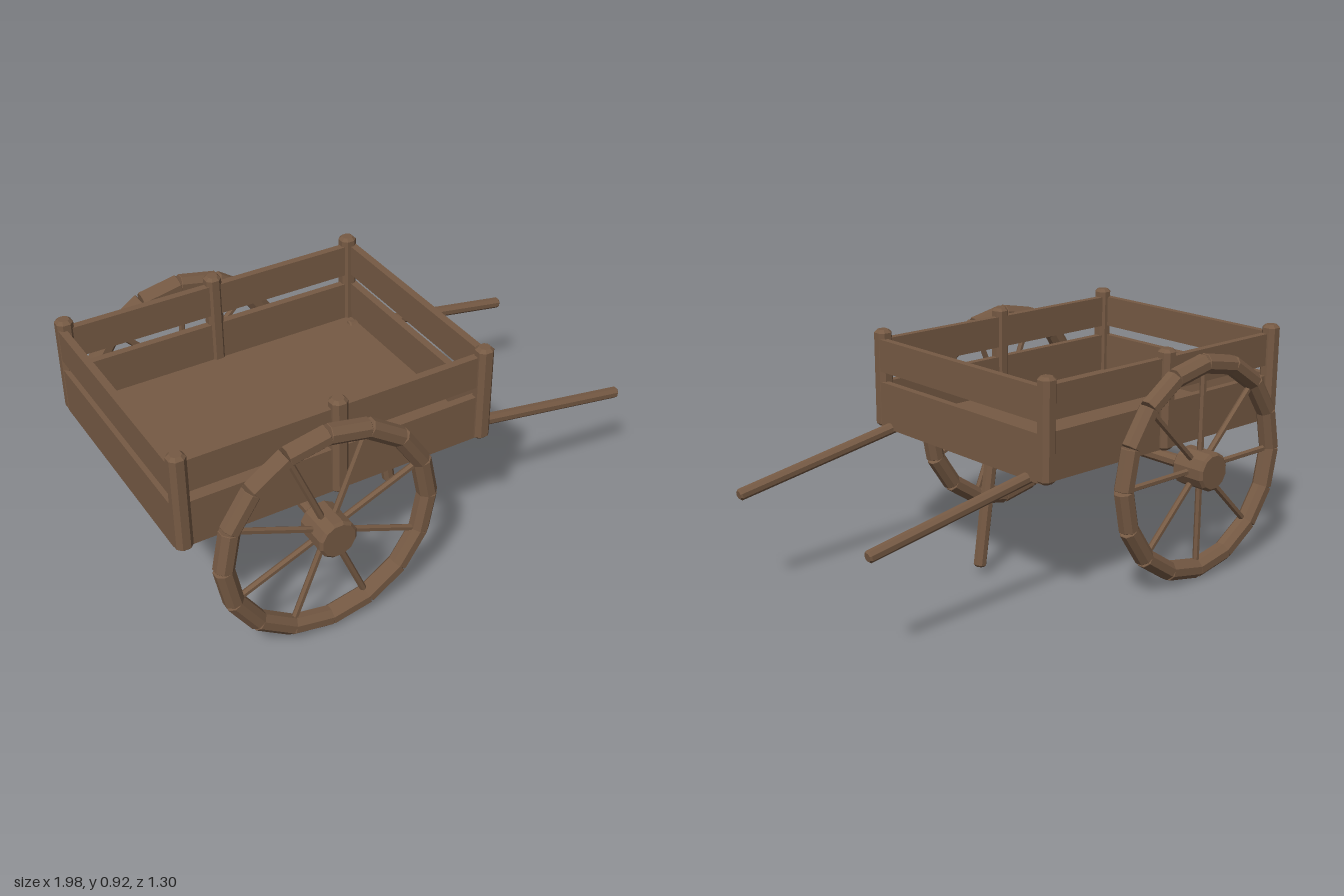
import * as THREE from 'three';

const wood = new THREE.MeshStandardMaterial({ color: 0x765a44 });
wood.name = 'brownWood';
wood.flatShading = true;

function add(parent, name, geometry, x = 0, y = 0, z = 0) {
  const mesh = new THREE.Mesh(geometry, wood);
  mesh.name = name;
  mesh.position.set(x, y, z);
  parent.add(mesh);
  return mesh;
}

// Faceted rod with chamfered ends, running between two points
function rod(parent, name, from, to, radius, chamfer, sides = 8) {
  const a = new THREE.Vector3(...from), b = new THREE.Vector3(...to);
  const h = a.distanceTo(b) / 2;
  const profile = [[0, -h], [radius - chamfer, -h], [radius, -h + chamfer],
    [radius, h - chamfer], [radius - chamfer, h], [0, h]]
    .map(([x, y]) => new THREE.Vector2(x, y));
  const mesh = add(parent, name, new THREE.LatheGeometry(profile, sides, Math.PI / sides));
  mesh.position.copy(a).add(b).multiplyScalar(0.5);
  mesh.quaternion.setFromUnitVectors(new THREE.Vector3(0, 1, 0), b.sub(a).normalize());
  return mesh;
}

// Square post with chamfered edges and ends
function post(parent, x, z) {
  const s = 0.02, c = 0.01, bevel = 0.012;
  const shape = new THREE.Shape([[s, -s + c], [s, s - c], [s - c, s], [-s + c, s],
    [-s, s - c], [-s, -s + c], [-s + c, -s], [s - c, -s]].map(([u, v]) => new THREE.Vector2(u, v)));
  const geometry = new THREE.ExtrudeGeometry(shape, {
    depth: 0.395 - 2 * bevel, bevelThickness: bevel, bevelSize: bevel, bevelSegments: 1,
  });
  geometry.rotateX(-Math.PI / 2);
  add(parent, 'post', geometry, x, 0.53 + bevel, z);
}

// Spoked wheel with a rim of straight segments
function wheel(name, side, spokeOffset) {
  const group = new THREE.Group();
  group.name = name;
  group.position.set(-0.45, 0.455, side * 0.575);
  const R = 0.413, segments = 16, spokes = 8;
  const at = (r, angle) => [r * Math.cos(angle), r * Math.sin(angle), 0];
  for (let i = 0; i < segments; i++) {
    const a = (i / segments) * Math.PI * 2, b = ((i + 1) / segments) * Math.PI * 2;
    rod(group, 'rimSegment', at(R, a), at(R, b), 0.039, 0.002);
  }
  for (let i = 0; i < spokes; i++) {
    const a = (i / spokes) * Math.PI * 2 + spokeOffset;
    rod(group, 'spoke', at(0.05, a), at(0.4, a), 0.013, 0.001, 6);
  }
  rod(group, 'hub', [0, 0, -0.075], [0, 0, 0.075], 0.077, 0.01, 12);
  return group;
}

export function createModel() {
  const cart = new THREE.Group();
  cart.name = 'handcart';

  // Cart bed with two rows of planks on every side
  const bed = new THREE.Group();
  bed.name = 'bed';
  cart.add(bed);
  add(bed, 'floor', new THREE.BoxGeometry(1.26, 0.025, 0.96), -0.35, 0.545, 0);
  for (const [y, h] of [[0.625, 0.185], [0.825, 0.13]]) {
    for (const s of [-1, 1]) {
      add(bed, 'sidePlank', new THREE.BoxGeometry(1.27, h, 0.03), -0.35, y, s * 0.47);
      add(bed, 'endPlank', new THREE.BoxGeometry(0.03, h, 0.93), -0.35 + s * 0.625, y, 0);
    }
  }
  for (const s of [-1, 1]) {
    for (const x of [-0.96, -0.35, 0.26]) post(bed, x, s * 0.478);
  }

  // Wheels and axle
  cart.add(wheel('frontWheel', 1, Math.PI / 8), wheel('backWheel', -1, 0));
  rod(cart, 'axle', [-0.45, 0.455, -0.52], [-0.45, 0.455, 0.52], 0.026, 0.002);

  // Pulling shafts
  for (const s of [-1, 1]) {
    rod(cart, 'shaft', [0.22, 0.548, s * 0.405], [0.99, 0.42, s * 0.405], 0.023, 0.006);
  }

  // Prop leg under the bed
  rod(cart, 'propLeg', [0.1, 0.535, 0], [0.17, 0.04, 0], 0.026, 0.008);
  return cart;
}
